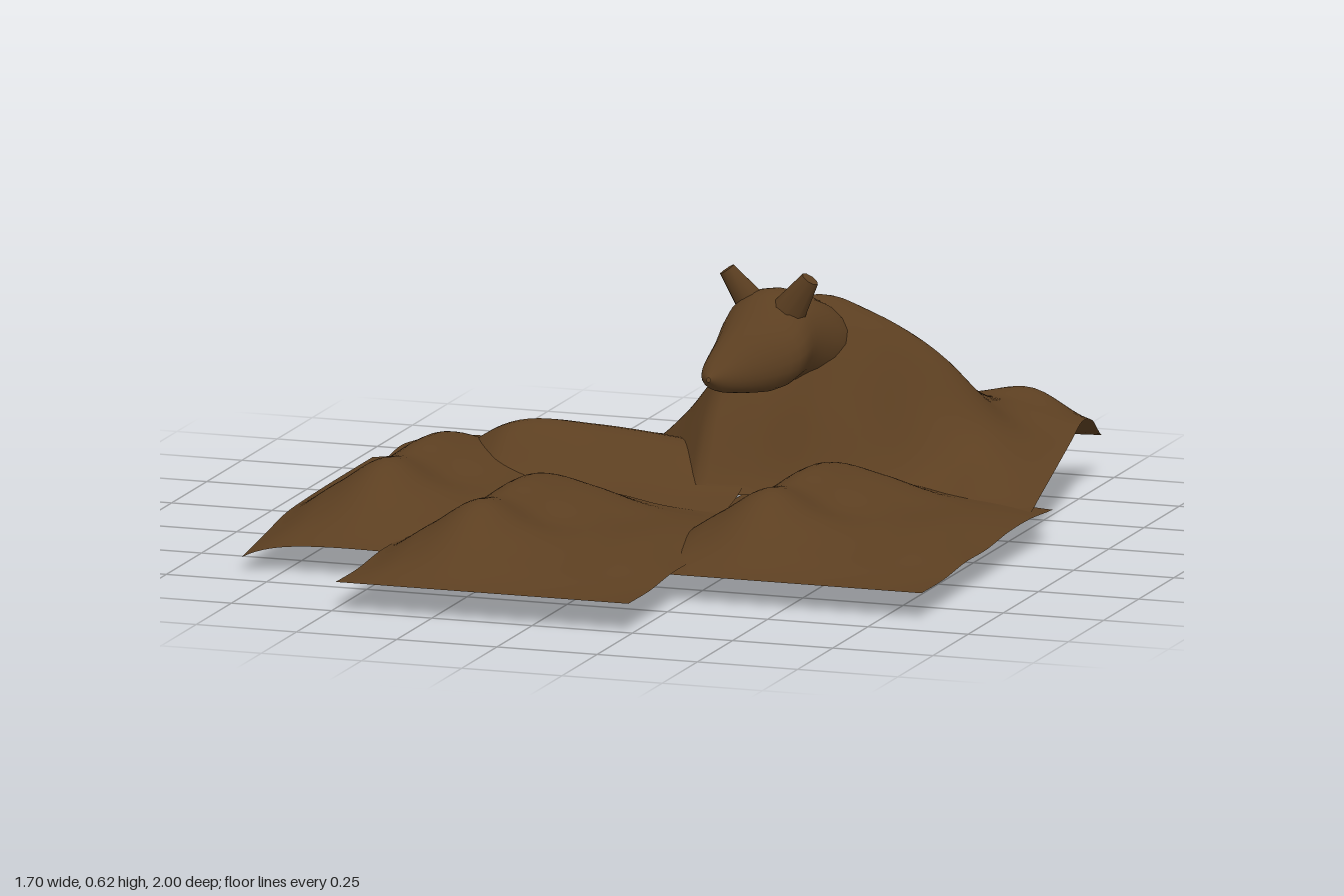
import * as THREE from 'three';

const material = new THREE.MeshStandardMaterial({ color: 0x5c3f21, roughness: 1, side: THREE.DoubleSide });

// smooth curve through evenly spaced values, t in 0..1
function spline(a, t) {
  const n = a.length - 1, f = t * n, i = Math.min(Math.floor(f), n - 1), k = f - i;
  const p0 = a[Math.max(i - 1, 0)], p1 = a[i], p2 = a[i + 1], p3 = a[Math.min(i + 2, n)];
  return p1 + 0.5 * k * (p2 - p0 + k * (2 * p0 - 5 * p1 + 4 * p2 - p3 + k * (3 * (p1 - p2) + p3 - p0)));
}

// straight segments through [x, z] points
function polyline(pts, x) {
  for (let i = 1; i < pts.length; i++) {
    if (x <= pts[i][0] || i === pts.length - 1) {
      const k = (x - pts[i - 1][0]) / (pts[i][0] - pts[i - 1][0]);
      return pts[i - 1][1] + k * (pts[i][1] - pts[i - 1][1]);
    }
  }
}

// open sheet of ground: rows of heights from back to front, between two edge lines;
// flare widens its left side towards the front
function sheet(name, x0, x1, back, front, rows, adjust = () => 0, flare = 0) {
  const geo = new THREE.PlaneGeometry(1, 1, 44, 48).rotateX(-Math.PI / 2);
  const p = geo.attributes.position;
  for (let i = 0; i < p.count; i++) {
    const u = p.getX(i) + 0.5, v = p.getZ(i) + 0.5, x = x0 + u * (x1 + flare * v - x0);
    const zb = polyline(back, x), zf = polyline(front, x);
    const y = spline(rows.map(r => spline(r, u)), v) + adjust(u, v);
    p.setXYZ(i, x, y, zb + v * (zf - zb));
  }
  geo.computeVertexNormals();
  const mesh = new THREE.Mesh(geo, material);
  mesh.name = name;
  return mesh;
}

// tube of elliptical rings [x, y, z, rx, ry] running towards the front
function loft(name, rings, sides = 20, steps = 24) {
  const pos = [], idx = [];
  for (let j = 0; j <= steps; j++) {
    const [x, y, z, rx, ry] = [0, 1, 2, 3, 4].map(c => spline(rings.map(r => r[c]), j / steps));
    for (let i = 0; i < sides; i++) {
      const a = i / sides * Math.PI * 2;
      pos.push(x + Math.cos(a) * rx, y + Math.sin(a) * ry, z);
      if (j < steps) {
        const m = j * sides + i, n = j * sides + (i + 1) % sides;
        idx.push(m, n, n + sides, m, n + sides, m + sides);
      }
    }
  }
  const geo = new THREE.BufferGeometry();
  geo.setAttribute('position', new THREE.Float32BufferAttribute(pos, 3));
  geo.setIndex(idx);
  geo.computeVertexNormals();
  const mesh = new THREE.Mesh(geo, material);
  mesh.name = name;
  return mesh;
}

export function createModel() {
  const group = new THREE.Group();
  group.name = 'rockyGround';

  // three overlapping ground patches with the same ridge
  const patchRows = [
    [0.08, 0.10, 0.12, 0.12, 0.10, 0.09, 0.08],
    [0.08, 0.13, 0.19, 0.17, 0.13, 0.11, 0.09],
    [0.08, 0.13, 0.21, 0.17, 0.13, 0.12, 0.09],
    [0.08, 0.14, 0.20, 0.15, 0.13, 0.12, 0.08],
    [0.08, 0.15, 0.215, 0.16, 0.12, 0.11, 0.08],
    [0.07, 0.11, 0.14, 0.12, 0.10, 0.09, 0.07],
    [0.07, 0.07, 0.07, 0.07, 0.07, 0.07, 0.07]];
  const patches = [
    ['rightPatch', -0.85, -0.12, -0.29, (u, v) => -0.07 * u ** 5 * v ** 4 - 0.04 * (1 - u) ** 10 * v ** 4],
    ['frontPatch', -0.49, 0.24, 0.07, () => 0],
    ['leftPatch', 0.10, 0.845, -0.29, () => -0.005]];
  for (const [name, x0, x1, z, adjust] of patches) {
    const line = d => [[x0, z + d], [x1, z + d]];
    group.add(sheet(name, x0, x1, line(0), line(0.93), patchRows, adjust));
  }

  // low slope behind the patches, with a cross ridge dipping under the front patch
  group.add(sheet('backSlope', -0.83, 0.15,
    [[-0.83, -0.67], [-0.44, -0.73], [-0.25, -0.85], [-0.08, -0.87], [0.15, -0.87]],
    [[-0.83, 0.04], [-0.45, 0.2], [0.15, 0.14]], [
      [0.06, 0.06, 0.06, 0.05, 0.05, 0.05],
      [0.07, 0.08, 0.09, 0.09, 0.08, 0.07],
      [0.08, 0.10, 0.13, 0.14, 0.12, 0.10],
      [0.07, 0.10, 0.16, 0.17, 0.15, 0.13],
      [0.07, 0.12, 0.23, 0.22, 0.20, 0.17],
      [0.07, 0.08, 0.11, 0.11, 0.12, 0.11],
      [0.06, 0.07, 0.08, 0.08, 0.08, 0.08]]));

  // main mound, its front tip running under the patches
  group.add(sheet('mound', -0.25, 0.72,
    [[-0.25, -0.85], [-0.08, -0.87], [0.72, -1.0]],
    [[-0.25, -0.36], [-0.02, -0.08], [0.04, -0.02], [0.16, -0.06], [0.27, -0.13], [0.6, -0.22], [0.82, -0.2]], [
      [0.05, 0.06, 0.07, 0.08, 0.09, 0.10, 0.10, 0.10],
      [0.06, 0.09, 0.13, 0.16, 0.19, 0.21, 0.23, 0.16],
      [0.07, 0.13, 0.20, 0.25, 0.26, 0.24, 0.22, 0.18],
      [0.09, 0.18, 0.30, 0.36, 0.37, 0.31, 0.21, 0.16],
      [0.10, 0.20, 0.38, 0.51, 0.47, 0.37, 0.21, 0.14],
      [0.11, 0.22, 0.38, 0.49, 0.41, 0.26, 0.18, 0.12],
      [0.10, 0.18, 0.28, 0.33, 0.26, 0.14, 0.13, 0.10],
      [0.08, 0.09, 0.10, 0.11, 0.09, 0.08, 0.08, 0.08]], () => 0, 0.1));

  // head rising out of the mound, nose towards the front
  group.add(loft('head', [
    [0.22, 0.39, -0.47, 0.08, 0.08],
    [0.18, 0.42, -0.36, 0.13, 0.115],
    [0.16, 0.45, -0.25, 0.118, 0.115],
    [0.15, 0.42, -0.16, 0.105, 0.085],
    [0.09, 0.385, -0.09, 0.05, 0.04],
    [0.07, 0.38, -0.055, 0.005, 0.005]]));

  // pair of ears, leaning outwards
  for (const [side, name] of [[-1, 'rightEar'], [1, 'leftEar']]) {
    const ear = new THREE.Mesh(new THREE.CylinderGeometry(0.022, 0.045, 0.12, 8), material);
    ear.name = name;
    ear.scale.z = 0.7;
    ear.position.set(0.16 + side * 0.077, 0.558, -0.235 + side * 0.02);
    ear.rotation.set(0.2, 0, -side * 0.6);
    group.add(ear);
  }
  return group;
}
